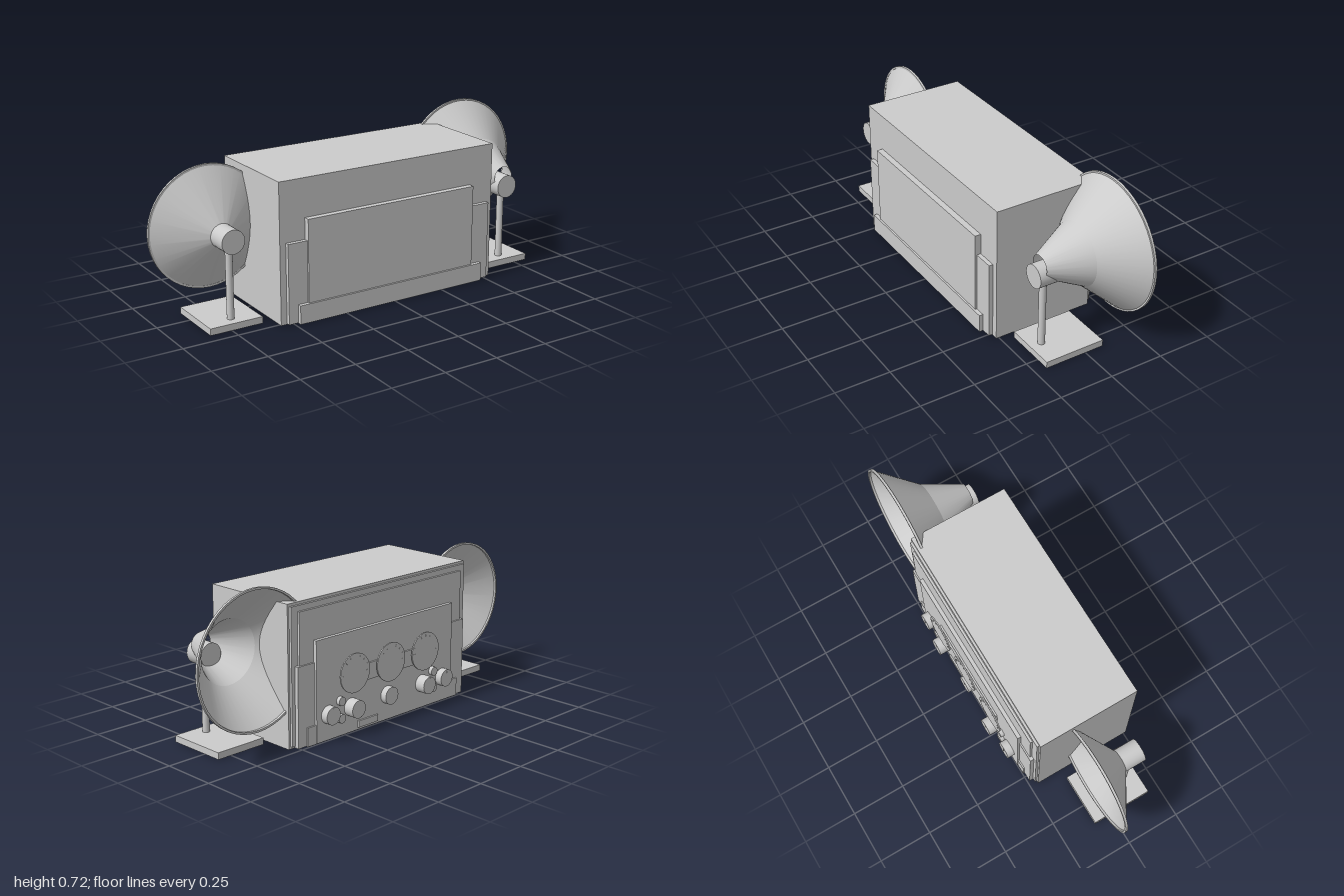
import * as THREE from 'three';
import { toCreasedNormals } from 'three/addons/utils/BufferGeometryUtils.js';

const grey = new THREE.MeshStandardMaterial({ color: 0xcccccc });
const thin = new THREE.MeshStandardMaterial({ color: 0xcccccc, side: THREE.DoubleSide });

function add(parent, name, geo, mat = grey) {
  const mesh = new THREE.Mesh(geo, mat);
  mesh.name = name;
  parent.add(mesh);
  return mesh;
}

// Box given by its limits on each axis
function box(parent, name, x0, x1, y0, y1, z0, z1) {
  const m = add(parent, name, new THREE.BoxGeometry(x1 - x0, y1 - y0, z1 - z0));
  m.position.set((x0 + x1) / 2, (y0 + y1) / 2, (z0 + z1) / 2);
  return m;
}

// Cylinder lying along z
function rod(parent, name, x, y, z0, z1, r, sides = 32) {
  const m = add(parent, name, new THREE.CylinderGeometry(r, r, z1 - z0, sides).rotateX(Math.PI / 2));
  m.position.set(x, y, (z0 + z1) / 2);
  return m;
}

// Horn on a stand; profile is a list of [radius, z] from throat to mouth
function hornSpeaker(name, x, hornY, profile, driverZ0) {
  const g = new THREE.Group();
  g.name = name;
  const lathe = (pts) => toCreasedNormals(
    new THREE.LatheGeometry(pts.map(([r, z]) => new THREE.Vector2(r, z)), 48).rotateX(Math.PI / 2), 0.2);
  const horn = add(g, 'horn', lathe(profile), thin);
  horn.position.set(x, hornY, 0);
  const [r, z] = profile[profile.length - 1];
  const rim = add(g, 'hornRim', lathe([
    [r - 0.006, z - 0.006], [r + 0.003, z - 0.006], [r + 0.003, z + 0.005], [r - 0.006, z + 0.005], [r - 0.006, z - 0.006],
  ]), thin);
  rim.position.set(x, hornY, 0);
  rod(g, 'driver', x, 0.38, driverZ0, 0.187, 0.053);
  const post = add(g, 'post', new THREE.CylinderGeometry(0.016, 0.016, 0.31, 24));
  post.position.set(x, 0.185, 0.14);
  box(g, 'base', x - 0.122, x + 0.122, 0, 0.03, -0.088, 0.195);
  return g;
}

export function createModel() {
  const model = new THREE.Group();
  model.name = 'radioWithHorns';

  // Cabinet and its stepped slabs on front and back
  const cabinet = new THREE.Group();
  cabinet.name = 'cabinet';
  model.add(cabinet);
  box(cabinet, 'body', -0.555, 0.54, 0, 0.627, -0.211, 0.263);
  box(cabinet, 'backBoard', -0.545, 0.53, 0.012, 0.615, -0.222, -0.2);
  box(cabinet, 'upperBackPanel', -0.51, 0.495, 0.03, 0.59, -0.233, -0.2);
  for (const [side, z0, wide, centre, plinth] of [
    ['front', 0.25, 0.282, 0.291, 0.3],
    ['back', -0.2, -0.24, -0.25, -0.247],
  ]) {
    const slab = (part, x0, x1, y0, y1, z) =>
      box(cabinet, side + part, x0, x1, y0, y1, Math.min(z0, z), Math.max(z0, z));
    slab('WideSlab', -0.527, 0.512, 0.004, 0.36, wide);
    slab('CentrePanel', -0.435, 0.417, 0.004, 0.455, centre);
    slab('Plinth', -0.482, 0.465, 0.002, 0.086, plinth);
  }

  // Three dials on a mounting bar, with tick marks and a needle
  const controls = new THREE.Group();
  controls.name = 'controls';
  model.add(controls);
  const midX = -0.01;
  box(controls, 'dialBar', midX - 0.25, midX + 0.25, 0.22, 0.295, -0.258, -0.245);
  for (const s of [-1, 0, 1]) {
    const x = midX + s * 0.222;
    rod(controls, 'dial', x, 0.275, -0.274, -0.268, 0.088, 48);
    rod(controls, 'dialHub', x, 0.275, -0.269, -0.25, 0.015, 20);
    for (let i = 0; i < 9; i++) {
      const a = Math.PI * (i / 8);
      const tick = box(controls, 'dialTick', -0.005, 0.005, -0.001, 0.001, -0.275, -0.273);
      tick.position.x = x + Math.cos(a) * 0.073;
      tick.position.y = 0.275 + Math.sin(a) * 0.073;
      tick.rotation.z = a;
    }
  }

  // Knobs: a centre one, then mirrored clusters
  function knob(x, y, r, z) {
    rod(controls, 'knob', x, y, z, -0.245, r);
    if (r > 0.03) box(controls, 'knobPointer', x - 0.002, x + 0.002, y, y + r * 0.85, z - 0.001, z + 0.003);
  }
  knob(midX, 0.12, 0.04, -0.28);
  for (const s of [-1, 1]) {
    knob(midX + s * 0.225, 0.119, 0.04, -0.3);
    knob(midX + s * 0.36, 0.119, 0.04, -0.284);
    knob(midX + s * 0.292, 0.163, 0.02, -0.268);
    knob(midX + s * 0.292, 0.085, 0.02, -0.268);
  }
  box(controls, 'smallPlate', 0.055, 0.175, 0.015, 0.045, -0.258, -0.245);

  // Large horn on the left, shallow horn on the right
  model.add(hornSpeaker('leftHornSpeaker', 0.695, 0.418,
    [[0.05, 0.158], [0.142, -0.022], [0.3, -0.191]], 0.092));
  model.add(hornSpeaker('rightHornSpeaker', -0.727, 0.383,
    [[0.05, 0.088], [0.27, -0.05]], 0.085));
  return model;
}
